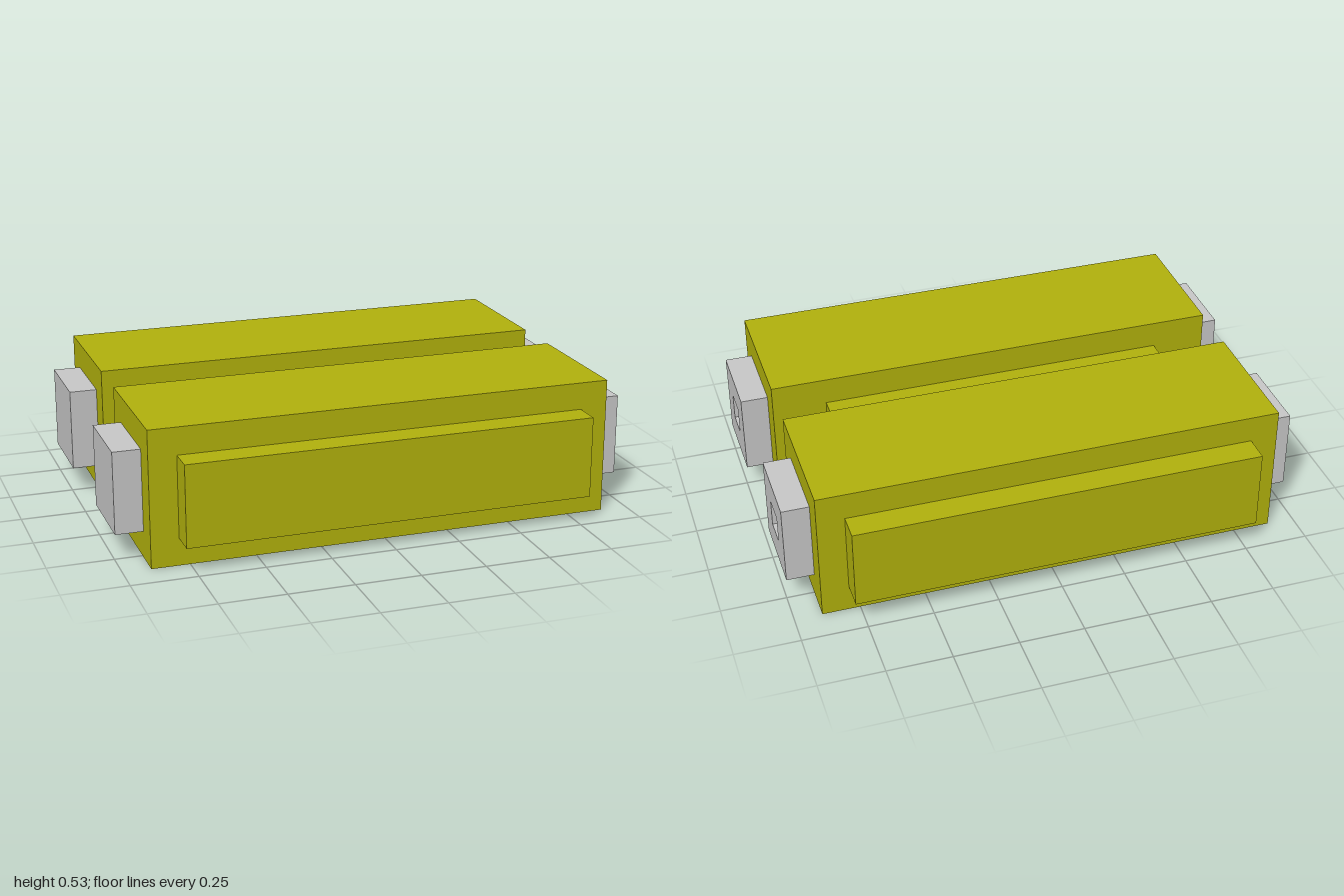
import * as THREE from 'three';

const U = 2 / 19; // grid unit: the whole model is 19 units long

export function createModel() {
  const model = new THREE.Group();
  model.name = 'twinBlockModule';

  const yellow = new THREE.MeshStandardMaterial({ color: 0xb3b30d });
  yellow.name = 'olive yellow';
  const grey = new THREE.MeshStandardMaterial({ color: 0xc9c9c9 });
  grey.name = 'light grey';

  // Box given by size and centre, in grid units
  function box(name, material, [w, h, d], [x, y, z]) {
    const mesh = new THREE.Mesh(new THREE.BoxGeometry(w * U, h * U, d * U), material);
    mesh.position.set(x * U, y * U, z * U);
    mesh.name = name;
    model.add(mesh);
  }

  // Square end cap with a square socket through it
  const outline = (half, Path) => {
    const s = half * U;
    return new Path([[-s, -s], [s, -s], [s, s], [-s, s]].map(([x, y]) => new THREE.Vector2(x, y)));
  };
  const capShape = outline(1.5, THREE.Shape);
  capShape.holes.push(outline(0.5, THREE.Path));
  const socketGeometry = new THREE.ExtrudeGeometry(capShape, { depth: U, bevelEnabled: false });
  socketGeometry.rotateY(Math.PI / 2);

  for (const [side, s] of [['front', 1], ['back', -1]]) {
    // Long body with a raised plate on its outer face
    box(side + 'Body', yellow, [17, 5, 5], [0, 2.5, 3.5 * s]);
    box(side + 'Plate', yellow, [15, 3, 1], [0, 2.5, 6.5 * s]);

    // Solid cap on the right end, socket cap on the left end
    box(side + 'SolidCap', grey, [1, 3, 3], [-9, 2.5, 3.5 * s]);
    const socket = new THREE.Mesh(socketGeometry, grey);
    socket.position.set(8.5 * U, 2.5 * U, 3.5 * s * U);
    socket.name = side + 'SocketCap';
    model.add(socket);
  }

  // Bridge between the bodies, with a tab at each end
  box('bridge', yellow, [13, 3, 2], [0, 2.5, 0]);
  for (const [side, s] of [['left', 1], ['right', -1]]) {
    box(side + 'BridgeTab', yellow, [1, 1, 2], [7 * s, 2.5, 0]);
  }

  return model;
}
